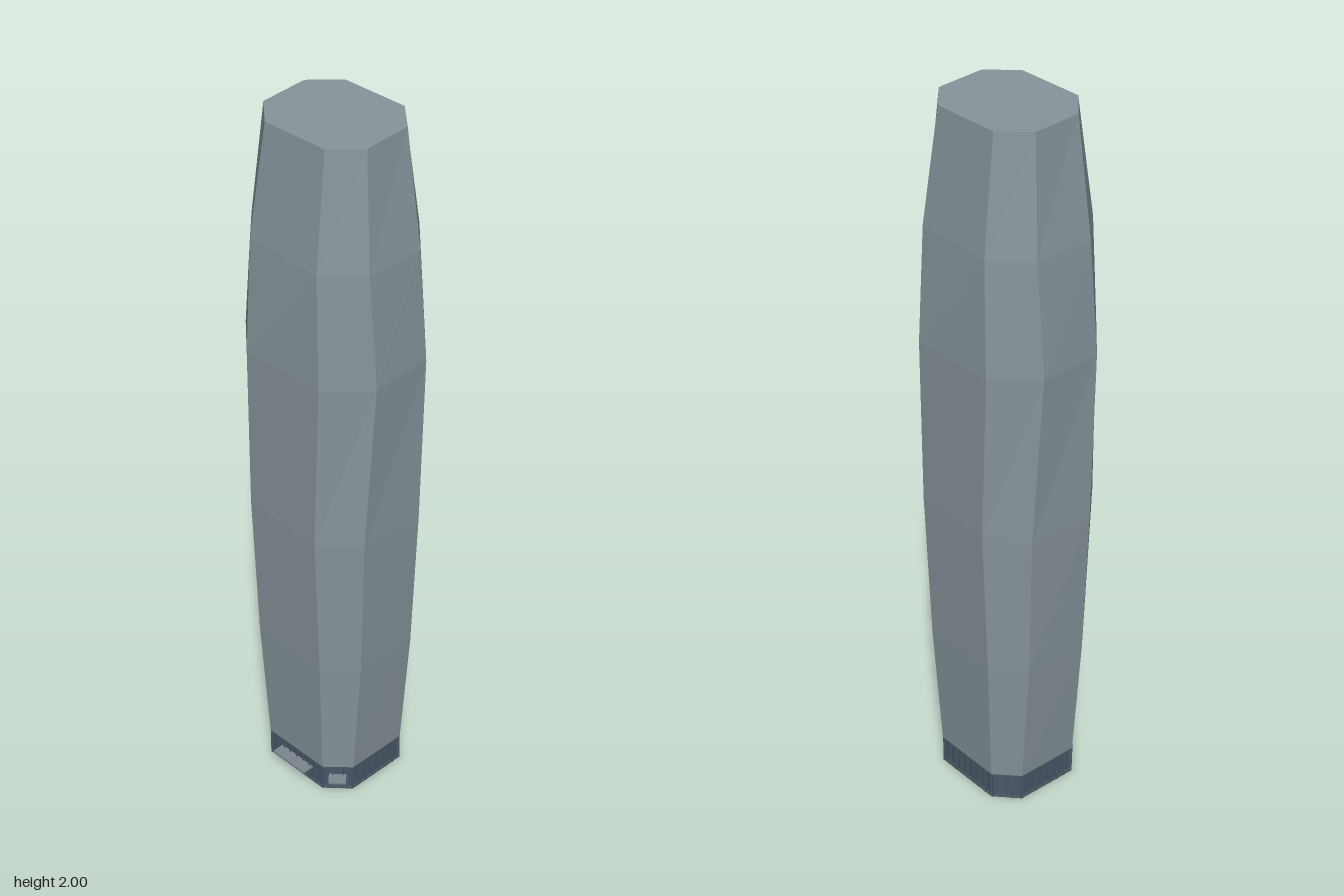
import * as THREE from 'three';

const facade = new THREE.MeshStandardMaterial({ color: 0x86949b });
facade.name = 'grey facade';
facade.flatShading = true;
const glass = new THREE.MeshStandardMaterial({ color: 0x46566a, side: THREE.DoubleSide });
glass.name = 'dark blue glass';
const frame = new THREE.MeshStandardMaterial({ color: 0x4f5a64 });
frame.name = 'dark frame';
const metal = new THREE.MeshStandardMaterial({ color: 0x7c868c });
metal.name = 'grey metal';

// Chamfered rectangle: (X, zc) and (xc, Z) are its corners, turned by a few degrees
function ring(xc, Z, X, zc, degrees = 0) {
  const s = Math.sin(THREE.MathUtils.degToRad(degrees));
  const c = Math.cos(THREE.MathUtils.degToRad(degrees));
  return [[X, zc], [xc, Z], [-xc, Z], [-X, zc], [-X, -zc], [-xc, -Z], [xc, -Z], [X, -zc]]
    .map(([x, z]) => [x * c + z * s, -x * s + z * c]);
}

// Skin a stack of rings, with optional flat caps
function loft(levels, capped) {
  const positions = [];
  const index = [];
  levels.forEach(({ y, points }) => points.forEach(([x, z]) => positions.push(x, y, z)));
  for (let l = 0; l < levels.length - 1; l++) {
    for (let i = 0; i < 8; i++) {
      const j = (i + 1) % 8;
      const b = l * 8, t = b + 8;
      index.push(b + i, t + i, b + j, b + j, t + i, t + j);
    }
  }
  if (capped) {
    const t = (levels.length - 1) * 8;
    for (let i = 1; i < 7; i++) index.push(0, i, i + 1, t, t + i + 1, t + i);
  }
  const geometry = new THREE.BufferGeometry();
  geometry.setAttribute('position', new THREE.Float32BufferAttribute(positions, 3));
  geometry.setIndex(index);
  const flat = geometry.toNonIndexed();
  flat.computeVertexNormals();
  return flat;
}

function add(parent, name, geometry, material) {
  const mesh = new THREE.Mesh(geometry, material);
  mesh.name = name;
  parent.add(mesh);
  return mesh;
}

export function createModel() {
  const model = new THREE.Group();
  model.name = 'tower';

  // Tapering shaft whose floors turn slightly back and forth
  const shaft = [
    { y: 0.08, points: ring(0.103, 0.148, 0.163, 0.09) },
    { y: 0.45, points: ring(0.116, 0.167, 0.194, 0.092, -0.5) },
    { y: 0.88, points: ring(0.122, 0.182, 0.214, 0.095, -1.8) },
    { y: 1.36, points: ring(0.122, 0.188, 0.223, 0.09, 2.5) },
    { y: 1.68, points: ring(0.115, 0.173, 0.204, 0.085) },
    { y: 2.0, points: ring(0.095, 0.138, 0.165, 0.07, 3) },
  ];
  add(model, 'shaft', loft(shaft, true), facade);

  // Open glazed lobby under the shaft
  const lobby = new THREE.Group();
  lobby.name = 'lobby';
  model.add(lobby);
  const wall = ring(0.1, 0.143, 0.158, 0.088);
  add(lobby, 'lobbyGlass', loft([{ y: 0, points: wall }, { y: 0.08, points: wall }], false), glass);

  // Each wall carries rails and mullions in a local frame with +z outward
  wall.forEach((p, i) => {
    const q = wall[(i + 1) % 8];
    const dx = q[0] - p[0], dz = q[1] - p[1];
    const length = Math.hypot(dx, dz);
    const side = new THREE.Group();
    side.name = 'lobbySide';
    side.position.set((p[0] + q[0]) / 2, 0, (p[1] + q[1]) / 2);
    side.rotation.y = Math.atan2(dz, -dx);
    lobby.add(side);

    for (const y of [0.003, 0.077]) {
      add(side, 'rail', new THREE.BoxGeometry(length, 0.006, 0.008), frame).position.y = y;
    }
    const bays = Math.round(length / 0.024);
    for (let k = 0; k < bays; k++) {
      const mullion = add(side, 'mullion', new THREE.BoxGeometry(0.004, 0.08, 0.01), frame);
      mullion.position.set((k / bays - 0.5) * length, 0.04, 0);
    }

    // Entrance canopies on the front corner and the front wall
    if (i < 2) {
      const canopy = add(side, 'canopy', new THREE.BoxGeometry(length * 0.6, 0.006, 0.035), metal);
      canopy.position.set(0, 0.047, 0.018);
    }
  });

  return model;
}
